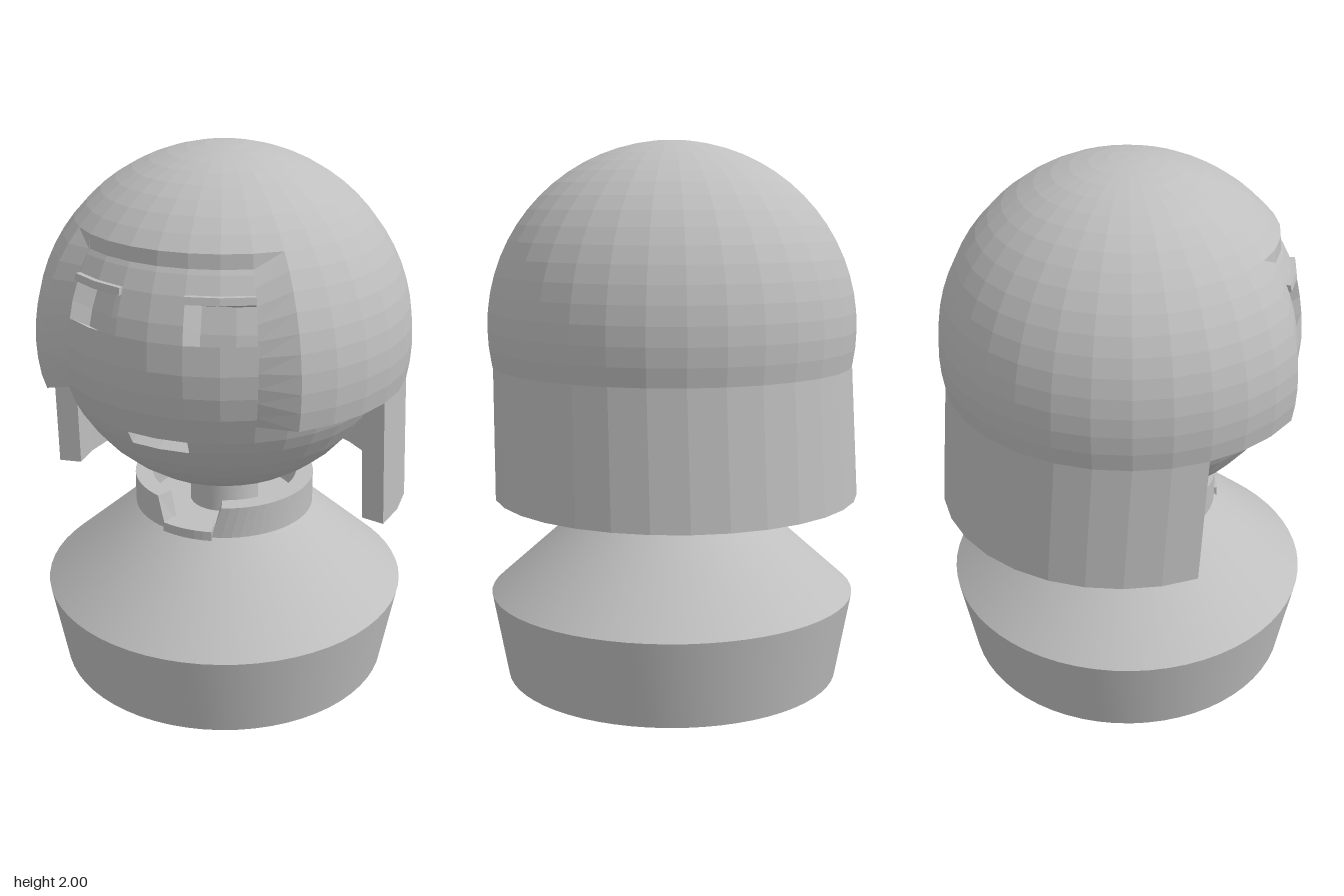
import * as THREE from 'three';
import { toCreasedNormals } from 'three/addons/utils/BufferGeometryUtils.js';

const DEG = Math.PI / 180;
const CELL = 360 / 32; // azimuth step of the faceted spheres
const ZC = 0.01; // shared vertical axis
const FACE = { r: 0.627, c: 1.37 };
const HAIR = { r: 0.685, c: 1.315 };

// point at an azimuth (0 = front, + = model's left), radius and height
const polar = (a, r, y, dz = 0) => [r * Math.sin(a * DEG), y, ZC + dz + r * Math.cos(a * DEG)];
const ringR = (s, y) => Math.sqrt(Math.max(0, s.r * s.r - (y - s.c) ** 2));
const onSphere = (s, a, y) => polar(a, ringR(s, y), y);

// collects flat-shaded quads
class Quads {
  constructor() { this.pos = []; }
  quad(a, b, c, d) { this.pos.push(...a, ...b, ...c, ...a, ...c, ...d); return this; }
  grid(nu, nv, fn, skip = () => false) {
    for (let i = 0; i < nu; i++) for (let j = 0; j < nv; j++) {
      if (!skip(i, j)) this.quad(fn(i, j), fn(i + 1, j), fn(i + 1, j + 1), fn(i, j + 1));
    }
    return this;
  }
  // sweep a closed cross-section of {r, y, dz, trim} around the axis, with end caps
  sweep(a0, a1, n, section) {
    const m = section.length;
    const at = (i, k) => {
      const { r, y, dz = 0, trim = 0 } = section[k % m];
      return polar(a0 + trim + (a1 - a0 - 2 * trim) * i / n, r, y, dz);
    };
    this.grid(n, m, at);
    this.quad(at(0, 0), at(0, 1), at(0, 2), at(0, 3));
    return this.quad(at(n, 3), at(n, 2), at(n, 1), at(n, 0));
  }
  geometry() {
    const g = new THREE.BufferGeometry();
    g.setAttribute('position', new THREE.Float32BufferAttribute(this.pos, 3));
    g.computeVertexNormals();
    return g;
  }
}

export function createModel() {
  const model = new THREE.Group();
  const grey = new THREE.MeshStandardMaterial({ color: 0xbfbfbf, side: THREE.DoubleSide });
  grey.name = 'grey';
  const add = (name, geometry) => {
    const mesh = new THREE.Mesh(geometry, grey);
    mesh.name = name;
    model.add(mesh);
    return mesh;
  };

  // flared base with sloping shoulders
  const profile = [[0, 0], [0.63, 0], [0.688, 0.32], [0.34, 0.63], [0, 0.63]];
  const base = new THREE.LatheGeometry(profile.map(p => new THREE.Vector2(...p)), 64);
  add('base', toCreasedNormals(base, 0.4)).position.z = ZC;

  // collar ring with a tapered notch at the front, and the sill in the notch
  add('collar', new Quads().sweep(16, 344, 56, [
    { r: 0.34, y: 0.63 }, { r: 0.34, y: 0.75, trim: 6 },
    { r: 0.275, y: 0.75, trim: 6 }, { r: 0.275, y: 0.63 },
  ]).geometry());
  add('collarSill', new Quads().sweep(-16, 16, 6, [
    { r: 0.35, y: 0.62 }, { r: 0.35, y: 0.657 }, { r: 0.275, y: 0.657 }, { r: 0.275, y: 0.62 },
  ]).geometry());
  add('neck', toCreasedNormals(new THREE.CylinderGeometry(0.13, 0.13, 0.17, 32), 0.5))
    .position.set(0, 0.7, ZC);

  // face ball: rows snapped to the edges of the eye and mouth openings
  const rows = [];
  for (let i = 0; i <= 24; i++) {
    const y = FACE.c - FACE.r * Math.cos(i * 7.5 * DEG);
    rows.push([1.06, 1.11, 1.47, 1.62].find(w => Math.abs(w - y) < 0.022) ?? y);
  }
  const openings = [
    { name: 'leftEye', i0: 1, i1: 3, y0: 1.47, y1: 1.62, push: [0, -0.07, -0.13] },
    { name: 'rightEye', i0: -3, i1: -1, y0: 1.47, y1: 1.62, push: [0, -0.07, -0.13] },
    { name: 'mouth', i0: -1, i1: 1, y0: 1.06, y1: 1.11, push: [0, 0.03, -0.05] },
  ];
  const facePoint = (i, j) => onSphere(FACE, i * CELL, rows[j]);
  const inOpening = (i, j) => openings.some(o =>
    i - 16 >= o.i0 && i - 16 < o.i1 && rows[j] >= o.y0 && rows[j + 1] <= o.y1);
  add('face', new Quads().grid(32, 24, (i, j) => facePoint(i - 16, j), inOpening).geometry());

  // recesses: back panel plus walls around each opening
  for (const { name, i0, i1, y0, y1, push } of openings) {
    const j0 = rows.indexOf(y0), j1 = rows.indexOf(y1);
    const p = (i, j, d) => facePoint(i, j).map((v, k) => v + d * push[k]);
    const q = new Quads().grid(i1 - i0, j1 - j0, (i, j) => p(i0 + i, j0 + j, 1));
    q.grid(i1 - i0, 1, (i, d) => p(i0 + i, j0, d));
    q.grid(i1 - i0, 1, (i, d) => p(i0 + i, j1, 1 - d));
    q.grid(1, j1 - j0, (d, j) => p(i0, j0 + j, d));
    q.grid(1, j1 - j0, (d, j) => p(i1, j0 + j, 1 - d));
    add(name, q.geometry());
    // thin lid along the top of each eye
    if (name !== 'mouth') {
      const r = ringR(FACE, y1);
      add(name + 'Lid', new Quads().sweep(i0 * CELL, i1 * CELL, 2, [
        { r: r + 0.02, y: 1.6 }, { r: r + 0.015, y: 1.625 },
        { r: r - 0.03, y: 1.625 }, { r: r - 0.03, y: 1.6 },
      ]).geometry());
    }
  }

  // hair dome: full crown, and sides open in front between -45 and 45 degrees
  const LOW = 1.18, HIGH = 1.75;
  const lat = y => Math.asin((y - HAIR.c) / HAIR.r);
  const hairY = (y0, y1, t) => HAIR.c + HAIR.r * Math.sin(lat(y0) + (lat(y1) - lat(y0)) * t);
  const TOP = HAIR.c + HAIR.r;
  const dome = new Quads();
  dome.grid(32, 9, (i, j) => onSphere(HAIR, i * CELL, hairY(HIGH, TOP, j / 9)));
  dome.grid(24, 9, (i, j) => onSphere(HAIR, 45 + i * CELL, hairY(LOW, HIGH, j / 9)));
  dome.grid(24, 1, (i, j) => polar(45 + i * CELL, j ? ringR(HAIR, LOW) : 0.57, LOW));
  add('hair', dome.geometry());

  // bevelled edge where the hair meets the face
  const A = 3 * CELL;
  const rim = new Quads();
  rim.grid(6, 1, (i, j) => j ? onSphere(HAIR, -A + i * CELL, HIGH) : onSphere(FACE, -A + i * CELL, 1.7));
  for (const s of [1, -1]) {
    const outer = t => onSphere(HAIR, s * 45, hairY(LOW, HIGH, t));
    const inner = t => polar(s * A, ringR(FACE, 1.22 + 0.48 * t) + 0.003, 1.22 + 0.48 * t);
    rim.grid(1, 9, (i, j) => (i === (s > 0 ? 1 : 0) ? outer(j / 9) : inner(j / 9)));
    const corner = onSphere(HAIR, s * A, HIGH);
    const under = [outer(0), inner(0), polar(s * A, 0.595, LOW), polar(s * 45, 0.57, LOW)];
    if (s > 0) rim.quad(inner(1), outer(1), corner, corner).quad(...under);
    else rim.quad(outer(1), inner(1), corner, corner).quad(...under.reverse());
  }
  add('hairEdge', rim.geometry());

  // long hair around the back and sides, leaning slightly backwards
  add('backHair', new Quads().sweep(7 * CELL, 25 * CELL, 18, [
    { r: 0.682, y: 0.7, dz: -0.03 }, { r: ringR(HAIR, LOW), y: LOW },
    { r: 0.585, y: LOW }, { r: 0.595, y: 0.7, dz: -0.03 },
  ]).geometry());

  return model;
}
